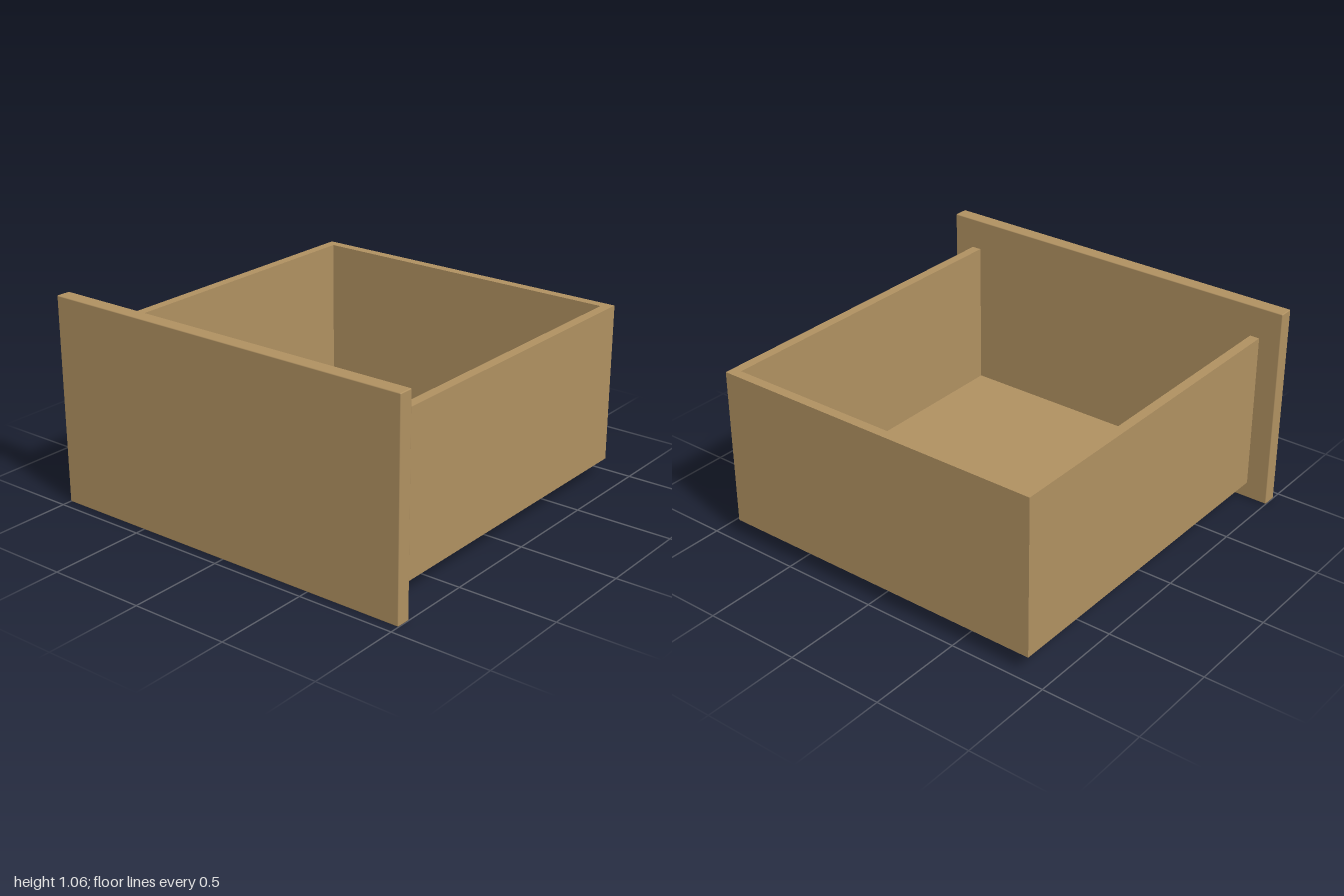
import * as THREE from 'three';
import { RoundedBoxGeometry } from 'three/addons/geometries/RoundedBoxGeometry.js';

export function createModel() {
  const model = new THREE.Group();
  model.name = 'drawer';
  const wood = new THREE.MeshStandardMaterial({ color: 0xb09161 });
  wood.name = 'wood';

  const W = 0.885, WALL = 0.05;          // half width and wall thickness of the tray
  const BOTTOM = 0.085, TOP = 0.9;       // tray heights
  const BACK = -0.95, JOIN = 0.875, FRONT = 0.95;

  const add = (name, geometry, x = 0, y = 0, z = 0) => {
    const mesh = new THREE.Mesh(geometry, wood);
    mesh.name = name;
    mesh.position.set(x, y, z);
    model.add(mesh);
  };

  // Side and back walls: one U-shaped outline, open towards the front panel
  const outline = new THREE.Shape([
    [-W, -JOIN], [-W + WALL, -JOIN], [-W + WALL, -BACK - WALL], [W - WALL, -BACK - WALL],
    [W - WALL, -JOIN], [W, -JOIN], [W, -BACK], [-W, -BACK],
  ].map(([x, y]) => new THREE.Vector2(x, y)));
  const walls = new THREE.ExtrudeGeometry(outline, { depth: TOP - BOTTOM, bevelEnabled: false });
  walls.rotateX(-Math.PI / 2);
  add('trayWalls', walls, 0, BOTTOM, 0);

  // Floor set between the walls, flush with their underside
  const floorDepth = JOIN - BACK - WALL;
  add('trayFloor', new THREE.BoxGeometry(2 * (W - WALL), 0.048, floorDepth),
    0, BOTTOM + 0.024, JOIN - floorDepth / 2);

  // Overhanging front panel with slightly eased edges
  add('frontPanel', new RoundedBoxGeometry(2, 1.06, FRONT - JOIN, 2, 0.005),
    0, 0.53, (FRONT + JOIN) / 2);

  return model;
}
